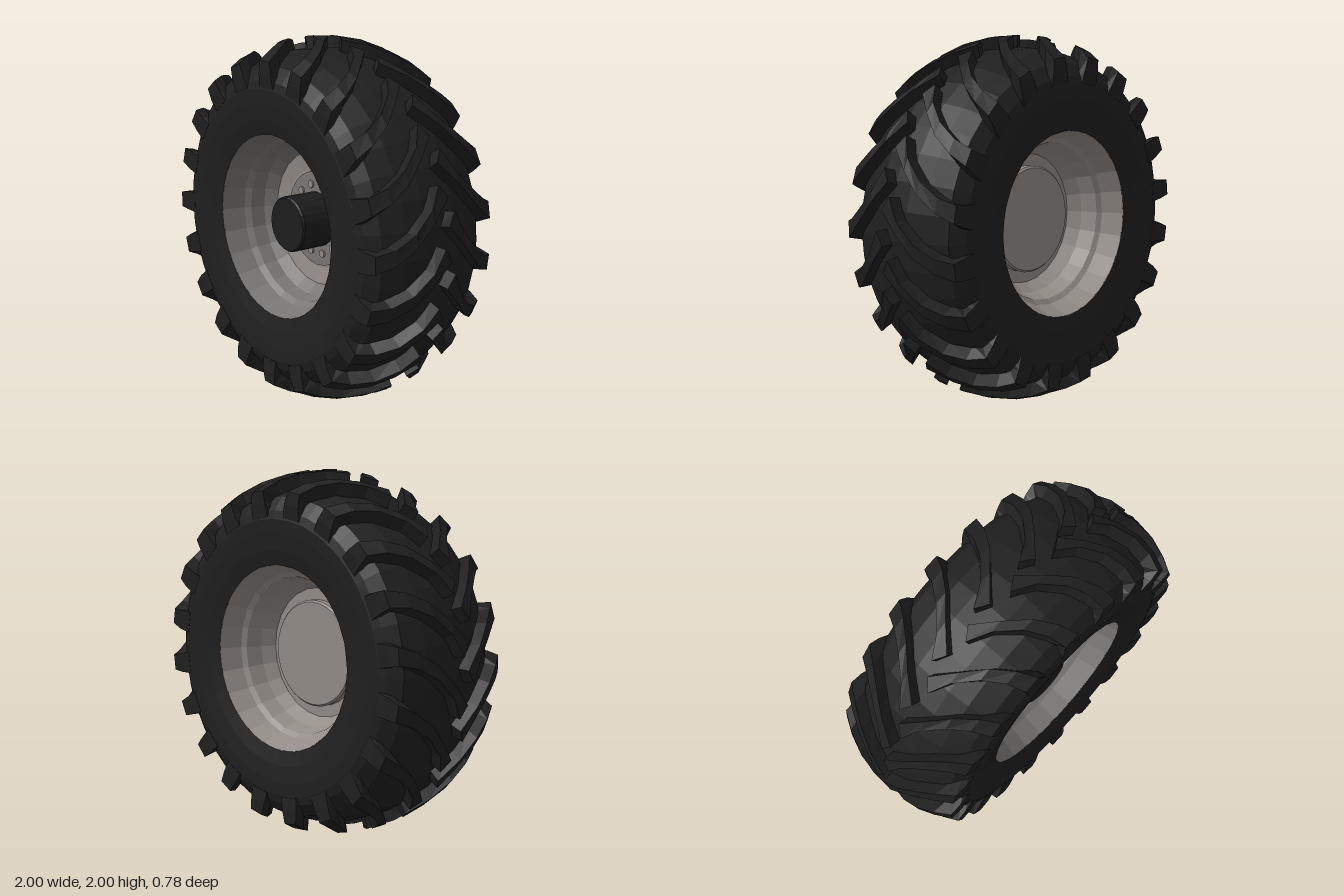
import * as THREE from 'three';

const LUGS = 20;

// Lathe turned about the z axis; points are [radius, z]
function turned(points, segments) {
  const geo = new THREE.LatheGeometry(points.map(([r, z]) => new THREE.Vector2(r, z)), segments);
  return geo.rotateX(Math.PI / 2);
}

// One curved tread bar: a four-cornered section swept from the centre line
// over the shoulder and down the sidewall. side = +1 front, -1 back.
function lugGeometry(side) {
  // [top z, top r, base z, base r, angle, half width angle]
  const stations = [
    [0.015, 1.0, 0.015, 0.92, 0, 0.034],
    [0.10, 0.994, 0.10, 0.915, -0.115, 0.034],
    [0.20, 0.975, 0.20, 0.90, -0.22, 0.036],
    [0.30, 0.937, 0.29, 0.85, -0.29, 0.041],
    [0.386, 0.888, 0.32, 0.82, -0.325, 0.05],
    [0.388, 0.82, 0.34, 0.79, -0.33, 0.066],
    [0.381, 0.75, 0.35, 0.75, -0.33, 0.08],
  ];
  const rings = stations.map(([tz, tr, bz, br, a, w], i) => {
    const skew = i === 0 ? 0.022 : 0; // blunt end cut square to the bar
    return [[bz, br, 1.2], [tz, tr, 1], [tz, tr, -1], [bz, br, -1.2]].map(([z, r, k]) => {
      const t = a + w * k;
      return [r * Math.cos(t), r * Math.sin(t), side * (z + skew * Math.sign(k))];
    });
  });
  const pos = [];
  const quad = (a, b, c, d) => {
    const order = side > 0 ? [a, c, b, a, d, c] : [a, b, c, a, c, d];
    order.forEach((p) => pos.push(...p));
  };
  for (let i = 0; i < rings.length - 1; i++) {
    for (let k = 0; k < 4; k++) {
      const n = (k + 1) % 4;
      quad(rings[i][k], rings[i][n], rings[i + 1][n], rings[i + 1][k]);
    }
  }
  const last = rings[rings.length - 1];
  quad(rings[0][3], rings[0][2], rings[0][1], rings[0][0]);
  quad(last[0], last[1], last[2], last[3]);
  const geo = new THREE.BufferGeometry();
  geo.setAttribute('position', new THREE.Float32BufferAttribute(pos, 3));
  geo.computeVertexNormals();
  return geo;
}

export function createModel() {
  const model = new THREE.Group();
  model.name = 'tractorWheel';
  const wheel = new THREE.Group();
  wheel.name = 'wheel';
  wheel.position.y = 1;
  model.add(wheel);

  const material = (name, color) => {
    const m = new THREE.MeshStandardMaterial({ color, flatShading: true, side: THREE.DoubleSide });
    m.name = name;
    return m;
  };
  const rubber = material('black rubber', 0x1f1f1f);
  const hubBlack = material('hub black', 0x1d1d1d);
  const rimGrey = material('warm rim grey', 0x938c87);
  const plateGrey = material('plate grey', 0x787674);

  const add = (name, geo, mat) => {
    const mesh = new THREE.Mesh(geo, mat);
    mesh.name = name;
    wheel.add(mesh);
    return mesh;
  };

  // Tyre carcass: half profile from bead to crown, mirrored
  const half = [[0.5, 0.345], [0.58, 0.366], [0.67, 0.38], [0.74, 0.382], [0.785, 0.37],
    [0.855, 0.32], [0.905, 0.21], [0.93, 0.1]];
  const mirrored = half.map(([r, z]) => [r, -z]);
  add('tyreCarcass', turned([...mirrored, [0.935, 0], ...half.slice().reverse()], 40), rubber);

  // Staggered chevron tread bars
  for (const [side, phase, name] of [[1, 0.015, 'frontTreadBar'], [-1, 0.19, 'backTreadBar']]) {
    const geo = lugGeometry(side);
    for (let i = 0; i < LUGS; i++) {
      add(name, geo, rubber).rotation.z = phase + (i / LUGS) * Math.PI * 2;
    }
  }

  // Rim: stepped front barrel and disc, stepped back barrel with a raised drum
  add('rimFrontBarrel', turned([[0.503, 0.347], [0.465, 0.22], [0.44, 0.19], [0.425, 0.11],
    [0.37, 0.055]], 24), plateGrey);
  add('rimDisc', turned([[0.37, 0.055], [0.28, 0.04], [0, 0.04]], 24), rimGrey);
  add('rimBackBarrel', turned([[0.503, -0.347], [0.455, -0.23], [0.43, -0.21], [0.405, -0.12],
    [0.36, -0.05], [0.295, -0.05]], 24), rimGrey);
  add('backDrum', turned([[0.295, -0.05], [0.295, -0.09], [0.285, -0.1], [0, -0.1]], 32), rimGrey);

  // Hub plate, ring of bolts and hub cap
  add('hubPlate', turned([[0.265, 0.04], [0.265, 0.048], [0.1, 0.048]], 24), plateGrey);
  const bolt = new THREE.CylinderGeometry(0.022, 0.022, 0.016, 8).rotateX(Math.PI / 2);
  for (let i = 0; i < 12; i++) {
    const a = ((i + 0.5) / 12) * Math.PI * 2;
    add('wheelBolt', bolt, rimGrey).position.set(0.195 * Math.cos(a), 0.195 * Math.sin(a), 0.05);
  }
  add('hubCap', turned([[0.153, 0.04], [0.153, 0.245], [0.145, 0.255], [0, 0.255]], 24), hubBlack);

  return model;
}
